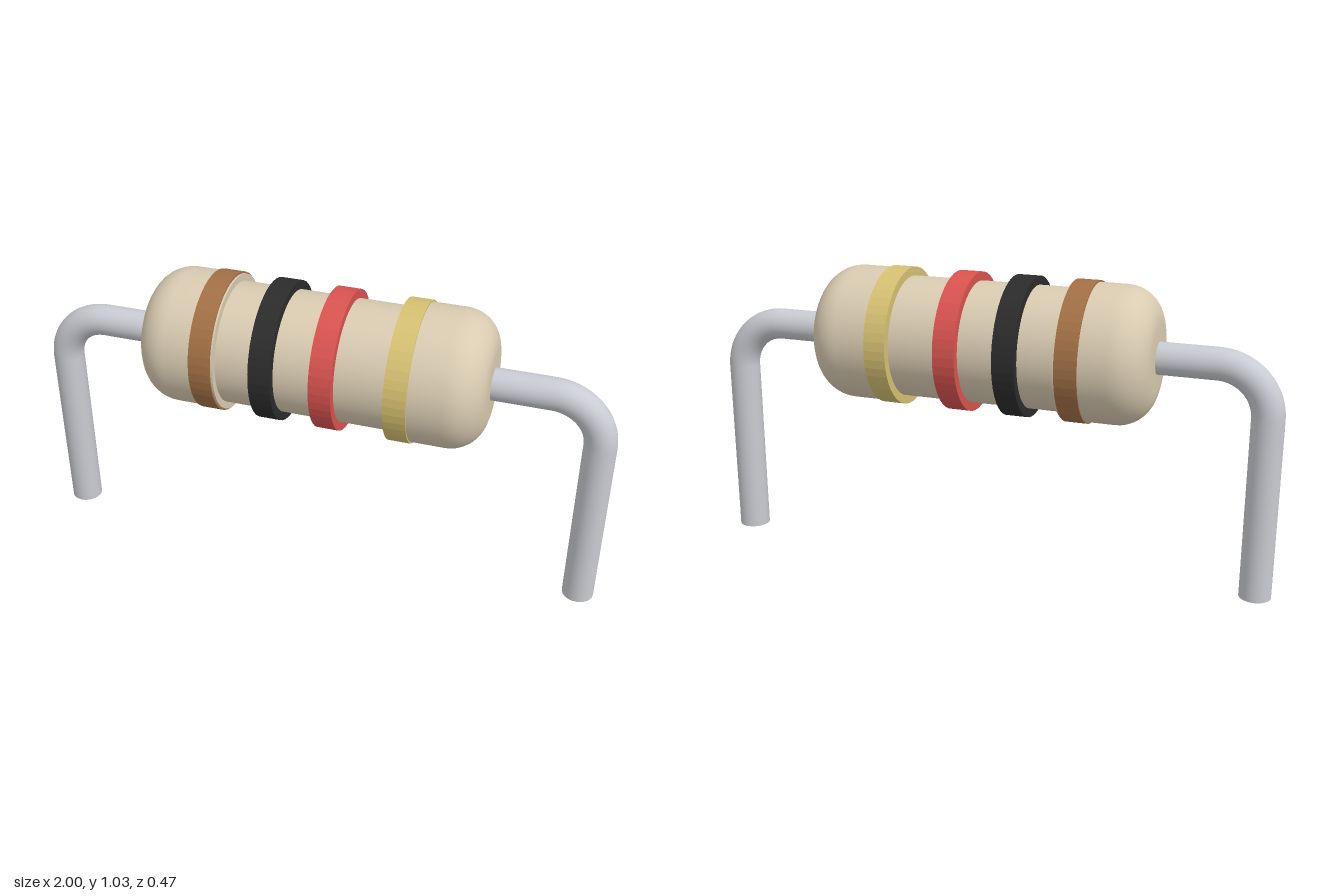
import * as THREE from 'three';
import { toCreasedNormals } from 'three/addons/utils/BufferGeometryUtils.js';

const AXIS_Y = 0.792;
const WIRE_R = 0.054;

function material(name, color, options = {}) {
  const m = new THREE.MeshStandardMaterial({ color, ...options });
  m.name = name;
  return m;
}

export function createModel() {
  const model = new THREE.Group();
  model.name = 'resistor';

  const ceramic = material('beige ceramic', 0xd9cbb1);
  const metal = material('wire metal', 0xc9cbd2);

  function add(name, geometry, mat, parent = model) {
    const mesh = new THREE.Mesh(geometry, mat);
    mesh.name = name;
    parent.add(mesh);
    return mesh;
  }

  // Body: two rounded end caps joined by a slimmer core, turned about x
  const endX = 0.585, capR = 0.231, coreR = 0.207, round = 0.12, stepX = 0.293;
  const half = [new THREE.Vector2(coreR, stepX), new THREE.Vector2(capR, stepX)];
  for (let i = 0; i <= 10; i++) {
    const a = (i / 10) * Math.PI / 2;
    half.push(new THREE.Vector2(
      capR - round + round * Math.cos(a),
      endX - round + round * Math.sin(a)
    ));
  }
  half.push(new THREE.Vector2(0, endX));
  const mirrored = half.map(p => new THREE.Vector2(p.x, -p.y)).reverse();
  const bodyGeometry = toCreasedNormals(
    new THREE.LatheGeometry([...mirrored, ...half], 64), 0.7);
  bodyGeometry.rotateZ(-Math.PI / 2);
  add('body', bodyGeometry, ceramic).position.y = AXIS_Y;

  // Raised colour bands
  const bands = [
    ['brown', 0xa37046, -0.337],
    ['black', 0x2c2c2c, -0.131],
    ['red', 0xd9534f, 0.072],
    ['gold', 0xd6c172, 0.316],
  ];
  for (const [name, color, x] of bands) {
    const g = new THREE.CylinderGeometry(0.237, 0.237, 0.075, 48);
    g.rotateZ(Math.PI / 2);
    add(name + 'Band', g, material(name + ' paint', color, { flatShading: true }))
      .position.set(x, AXIS_Y, 0);
  }

  // Wire leads: out of the body, round a quarter bend, down to the ground
  const legX = 1 - WIRE_R, bend = 0.168;
  for (const side of [1, -1]) {
    const lead = new THREE.Group();
    lead.name = side > 0 ? 'leftLead' : 'rightLead';
    model.add(lead);

    const stubLength = legX - bend - 0.55;
    const stub = new THREE.CylinderGeometry(WIRE_R, WIRE_R, stubLength, 32, 1, true);
    stub.rotateZ(Math.PI / 2);
    add('leadStub', stub, metal, lead)
      .position.set(side * (0.55 + stubLength / 2), AXIS_Y, 0);

    const elbow = new THREE.TorusGeometry(bend, WIRE_R, 32, 20, Math.PI / 2);
    if (side < 0) elbow.rotateY(Math.PI);
    add('leadBend', elbow, metal, lead)
      .position.set(side * (legX - bend), AXIS_Y - bend, 0);

    const legHeight = AXIS_Y - bend;
    add('leadLeg', new THREE.CylinderGeometry(WIRE_R, WIRE_R, legHeight, 32), metal, lead)
      .position.set(side * legX, legHeight / 2, 0);
  }

  return model;
}
